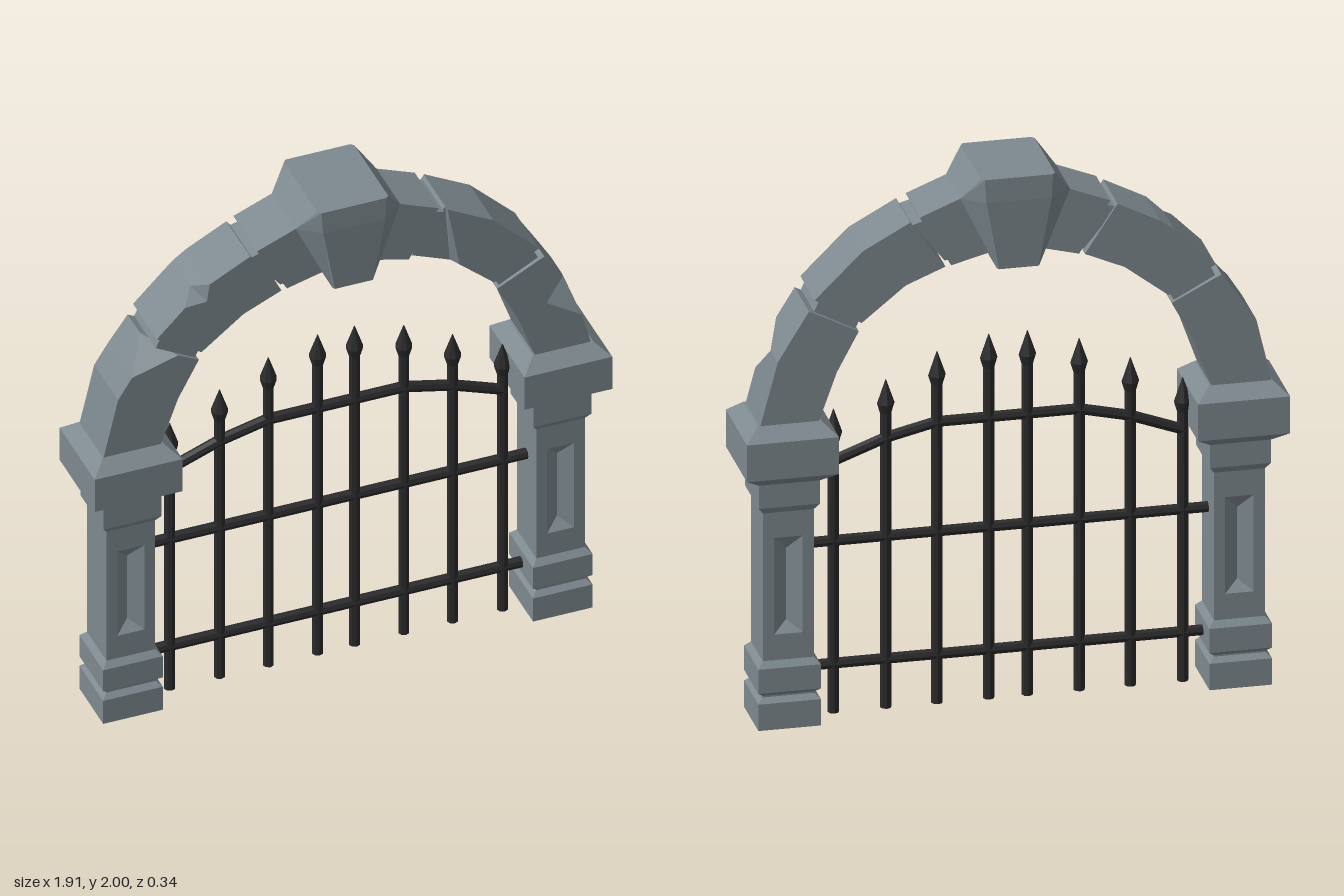
import * as THREE from 'three';

const stone = new THREE.MeshStandardMaterial({ color: 0x7d898f });
stone.name = 'grey stone';
const iron = new THREE.MeshStandardMaterial({ color: 0x2a2a2c });
iron.name = 'dark iron';

function mesh(name, geometry, material) {
  const flat = geometry.index ? geometry.toNonIndexed() : geometry;
  flat.computeVertexNormals();
  const m = new THREE.Mesh(flat, material);
  m.name = name;
  return m;
}

// Flat-sided solid from convex polygons, corners counter-clockwise from outside
function fromPolys(polys) {
  const pos = [];
  for (const p of polys) {
    for (let i = 1; i < p.length - 1; i++) pos.push(...p[0], ...p[i], ...p[i + 1]);
  }
  const g = new THREE.BufferGeometry();
  g.setAttribute('position', new THREE.Float32BufferAttribute(pos, 3));
  return g;
}

// Square turned profile of [half width, y]
function squareProfile(profile) {
  const pts = profile.map(([h, y]) => new THREE.Vector2(h * Math.SQRT2, y));
  return new THREE.LatheGeometry(pts, 4).rotateY(Math.PI / 4);
}

// Arch stone from an outline. A point [x, y, px, py, zq] is a chipped corner:
// the front face stops at (px, py) and the side edge stops at depth zq.
function archStone(name, outline, side = 1, zf = 0.11, zb = -0.11) {
  let o = outline.map(([x, y, px, py, zq]) => ({
    x: x * side, y, chipped: px !== undefined,
    p: px === undefined ? [x * side, y, zf] : [px * side, py, zf],
    q: [x * side, y, zq === undefined ? zf : zq],
  }));
  if (side < 0) o = o.reverse();
  const n = o.length;
  const polys = [];
  const cap = (pts, flip) => {
    const flatPts = pts.map((p) => new THREE.Vector2(p[0], p[1]));
    for (const [a, b, c] of THREE.ShapeUtils.triangulateShape(flatPts, [])) {
      polys.push(flip ? [pts[a], pts[c], pts[b]] : [pts[a], pts[b], pts[c]]);
    }
  };
  cap(o.map((v) => v.p), false);
  cap(o.map((v) => [v.x, v.y, zb]), true);
  o.forEach((v, i) => {
    const next = o[(i + 1) % n];
    const prev = o[(i + n - 1) % n];
    polys.push([v.q, [v.x, v.y, zb], [next.x, next.y, zb], next.q]);
    if (v.chipped) polys.push([prev.q, v.q, v.p], [v.p, v.q, next.q]);
  });
  return mesh(name, fromPolys(polys), stone);
}

// Shaft with a sunk, valley-shaped panel on its front and back
function shaftGeometry() {
  const h = 0.09, y0 = 0.24, y1 = 0.81, w = 0.05, p0 = 0.345, p1 = 0.705;
  const polys = [];
  for (const s of [1, -1]) {
    const at = (x, y, z = h) => [x * s, y, z * s];
    const outer = [at(-h, y0), at(h, y0), at(h, y1), at(-h, y1)];
    const rim = [at(-w, p0), at(w, p0), at(w, p1), at(-w, p1)];
    const low = at(0, 0.385, h - 0.035), high = at(0, 0.65, h - 0.035);
    for (let i = 0; i < 4; i++) {
      const j = (i + 1) % 4;
      polys.push([outer[i], outer[j], rim[j], rim[i]]);
    }
    polys.push([rim[0], rim[1], low], [rim[1], rim[2], high, low]);
    polys.push([rim[2], rim[3], high], [rim[3], rim[0], low, high]);
    polys.push([at(h, y0, h), at(h, y0, -h), at(h, y1, -h), at(h, y1, h)]);
  }
  return fromPolys(polys);
}

function makePillar(side) {
  const g = new THREE.Group();
  g.name = side > 0 ? 'leftPillar' : 'rightPillar';
  g.add(mesh('pillarBase', squareProfile([
    [0, 0], [0.11, 0], [0.11, 0.098], [0.092, 0.116], [0.092, 0.122],
    [0.11, 0.138], [0.11, 0.228], [0.09, 0.25], [0, 0.25],
  ]), stone));
  g.add(mesh('pillarShaft', shaftGeometry(), stone));
  g.add(mesh('pillarCapital', squareProfile([
    [0, 0.80], [0.09, 0.80], [0.107, 0.825], [0.107, 0.912],
    [0.162, 0.953], [0.162, 1.09], [0.112, 1.135], [0, 1.135],
  ]), stone));
  g.position.x = side * 0.793;
  return g;
}

// Keystone: stacked eight-sided rings [y, x, front x, z, side z]
function keystoneGeometry() {
  const rings = [
    [1.663, 0.075, 0.07, 0.165, 0.155],
    [1.915, 0.193, 0.115, 0.17, 0.11],
    [2.0, 0.13, 0.12, 0.167, 0.155],
  ].map(([y, x, fx, z, sz]) => [
    [fx, y, z], [x, y, sz], [x, y, -sz], [fx, y, -z],
    [-fx, y, -z], [-x, y, -sz], [-x, y, sz], [-fx, y, z],
  ]);
  const polys = [[...rings[0]].reverse(), rings[2]];
  for (let r = 0; r < 2; r++) {
    for (let i = 0; i < 8; i++) {
      const j = (i + 1) % 8;
      polys.push([rings[r][i], rings[r][j], rings[r + 1][j], rings[r + 1][i]]);
    }
  }
  return fromPolys(polys);
}

function makeArch() {
  const g = new THREE.Group();
  g.name = 'arch';
  // Stones that differ between the two sides
  g.add(archStone('lowerLeftStone', [
    [0.695, 1.12], [0.9, 1.12], [0.863, 1.26], [0.835, 1.365, 0.733, 1.344, 0],
    [0.79, 1.44], [0.725, 1.545], [0.55, 1.455], [0.627, 1.31],
  ]));
  g.add(archStone('lowerRightStone', [
    [0.695, 1.12], [0.905, 1.12], [0.848, 1.365], [0.797, 1.445],
    [0.725, 1.545, 0.627, 1.495, 0], [0.55, 1.455], [0.627, 1.31],
  ], -1));
  g.add(archStone('middleLeftStone', [
    [0.54, 1.485], [0.705, 1.585], [0.537, 1.751], [0.368, 1.843],
    [0.385, 1.61, 0.412, 1.597, 0.085],
  ]));
  g.add(archStone('crackedSplinter', [
    [0.385, 1.61], [0.368, 1.841], [0.245, 1.667],
  ], 1, 0.088));
  g.add(archStone('middleRightStone', [
    [0.54, 1.485], [0.705, 1.585], [0.6, 1.69], [0.558, 1.731, 0.52, 1.695, 0.05],
    [0.51, 1.765], [0.36, 1.843], [0.245, 1.667], [0.385, 1.605],
  ], -1));
  // Upper stones and recessed joints
  for (const side of [1, -1]) {
    g.add(archStone('upperStone', [
      [0.225, 1.67], [0.335, 1.858], [0.16, 1.928], [0.09, 1.705],
    ], side));
    g.add(archStone('lowerJoint', [
      [0.56, 1.462], [0.705, 1.54], [0.69, 1.572], [0.545, 1.495],
    ], side, 0.1, -0.1));
    g.add(archStone('upperJoint', [
      [0.245, 1.685], [0.36, 1.828], [0.325, 1.838], [0.222, 1.69],
    ], side, 0.1, -0.1));
  }
  g.add(mesh('keystone', keystoneGeometry(), stone));
  return g;
}

// Round iron rod between two points in the gate plane
function rod(name, [x0, y0], [x1, y1], radius = 0.02) {
  const length = Math.hypot(x1 - x0, y1 - y0);
  const m = mesh(name, new THREE.CylinderGeometry(radius, radius, length, 8), iron);
  m.position.set((x0 + x1) / 2, (y0 + y1) / 2, 0);
  m.rotation.z = Math.atan2(y1 - y0, x1 - x0) - Math.PI / 2;
  return m;
}

function makeGate() {
  const g = new THREE.Group();
  g.name = 'gate';
  const bars = [[0.068, 1.355], [0.25, 1.308], [0.43, 1.22], [0.614, 1.128]];
  const head = [[0, -0.125], [0.02, -0.125], [0.031, -0.088], [0.001, 0]]
    .map(([x, y]) => new THREE.Vector2(x, y));
  for (const side of [1, -1]) {
    for (const [x, top] of bars) {
      g.add(rod('uprightBar', [side * x, 0], [side * x, top - 0.12]));
      const tip = mesh('spearHead', new THREE.LatheGeometry(head, 8), iron);
      tip.position.set(side * x, top, 0);
      g.add(tip);
    }
  }
  for (const y of [0.18, 0.637]) g.add(rod('crossRail', [-0.702, y], [0.702, y]));
  // Bent top rail
  const bend = [[-0.62, 0.932], [-0.43, 1.003], [-0.25, 1.045], [0.25, 1.045], [0.43, 1.003], [0.62, 0.932]];
  for (let i = 0; i < bend.length - 1; i++) g.add(rod('topRail', bend[i], bend[i + 1]));
  return g;
}

export function createModel() {
  const model = new THREE.Group();
  model.name = 'archedGateway';
  model.add(makePillar(1), makePillar(-1), makeArch(), makeGate());
  return model;
}
